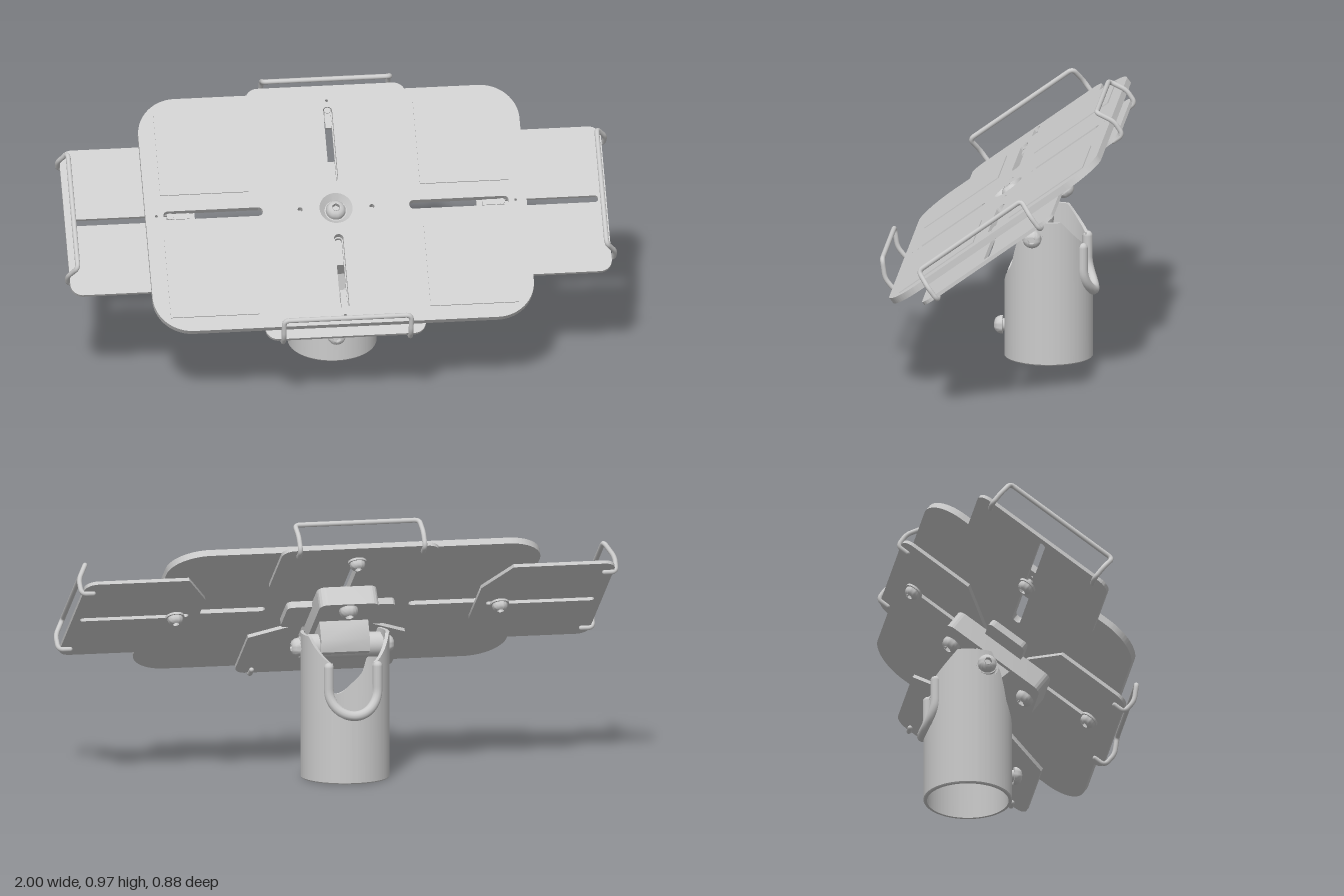
import * as THREE from 'three';
import { toCreasedNormals } from 'three/addons/utils/BufferGeometryUtils.js';

const material = new THREE.MeshStandardMaterial({ color: 0xcccccc, side: THREE.DoubleSide });
const TILT = THREE.MathUtils.degToRad(36);

function add(parent, name, geometry, x = 0, y = 0, z = 0) {
  const mesh = new THREE.Mesh(geometry, material);
  mesh.name = name;
  mesh.position.set(x, y, z);
  parent.add(mesh);
  return mesh;
}

// Rectangle with rounded corners; also serves as a slot when r is half the width
function roundedRect(w, h, r, cx = 0, cy = 0, Type = THREE.Shape) {
  const s = new Type(), x = w / 2, y = h / 2;
  s.absarc(cx + x - r, cy + y - r, r, 0, Math.PI / 2);
  s.absarc(cx - x + r, cy + y - r, r, Math.PI / 2, Math.PI);
  s.absarc(cx - x + r, cy - y + r, r, Math.PI, Math.PI * 1.5);
  s.absarc(cx + x - r, cy - y + r, r, Math.PI * 1.5, Math.PI * 2);
  s.closePath();
  return s;
}

const slot = (w, h, cx, cy) => roundedRect(w, h, Math.min(w, h) / 2 - 0.0005, cx, cy, THREE.Path);
const hole = (x, y, r) => new THREE.Path().absarc(x, y, r, 0, Math.PI * 2);

function plate(shape, from, to) {
  const g = new THREE.ExtrudeGeometry(shape, { depth: to - from, bevelEnabled: false, curveSegments: 16 });
  g.translate(0, 0, from);
  return toCreasedNormals(g, 0.6);
}

// Round wire through points with rounded corners and domed ends
function wire(parent, name, points, radius, corner) {
  const pts = points.map((p) => new THREE.Vector3(...p));
  const path = new THREE.CurvePath();
  let last = pts[0];
  for (let i = 1; i < pts.length - 1; i++) {
    const toward = (q) => {
      const d = q.clone().sub(pts[i]);
      return pts[i].clone().addScaledVector(d.clone().normalize(), Math.min(corner, d.length() * 0.45));
    };
    const a = toward(pts[i - 1]), b = toward(pts[i + 1]);
    path.add(new THREE.LineCurve3(last, a));
    path.add(new THREE.QuadraticBezierCurve3(a, pts[i], b));
    last = b;
  }
  path.add(new THREE.LineCurve3(last, pts[pts.length - 1]));
  add(parent, name, new THREE.TubeGeometry(path, 180, radius, 12));
  for (const p of [pts[0], pts[pts.length - 1]]) {
    add(parent, name + 'End', new THREE.SphereGeometry(radius, 12, 8), p.x, p.y, p.z);
  }
}

// Button head screw pointing along the given direction, with a six-sided socket
function screw(parent, name, r, position, direction) {
  const profile = [[0, 0], [1, 0], [1, 0.25], [0.9, 0.55], [0.7, 0.8], [0.42, 0.92]];
  const group = new THREE.Group();
  group.name = name;
  const head = new THREE.LatheGeometry(profile.map(([x, y]) => new THREE.Vector2(x * r, y * r)), 28);
  add(group, 'screwHead', toCreasedNormals(head, 0.6));
  const socket = new THREE.LatheGeometry([[0.42, 0.92], [0.42, 0.4], [0, 0.4]]
    .map(([x, y]) => new THREE.Vector2(x * r, y * r)), 6);
  add(group, 'screwSocket', toCreasedNormals(socket, 0.6));
  group.position.set(...position);
  group.quaternion.setFromUnitVectors(new THREE.Vector3(0, 1, 0), new THREE.Vector3(...direction));
  parent.add(group);
}

// Sliding plate with a wire clip, pointing along +y before it is turned
function slider(name, turn, o) {
  const g = new THREE.Group();
  g.name = name;
  const e = o.edge, hw = 0.29, r = 0.045;
  const s = new THREE.Shape();
  s.moveTo(-o.innerHalf, o.inner);
  s.lineTo(o.innerHalf, o.inner);
  s.lineTo(hw, o.straight);
  s.absarc(hw - r, e - r, r, 0, Math.PI / 2);
  s.absarc(-hw + r, e - r, r, Math.PI / 2, Math.PI);
  s.lineTo(-hw, o.straight);
  s.closePath();
  s.holes.push(slot(0.026, o.slot[1] - o.slot[0], 0, (o.slot[0] + o.slot[1]) / 2));
  add(g, 'slidingPlate', plate(s, -0.025, -0.012));
  const side = [[e - 0.035, -0.031], [e + 0.008, -0.031], [e + 0.011, 0.026], [e - 0.023, 0.09]];
  const left = side.map(([y, z]) => [-0.23, y, z]);
  const right = side.map(([y, z]) => [0.23, y, z]).reverse();
  wire(g, 'wireClip', [...left, ...right], 0.009, 0.02);
  // clamping screw, washer and the nut running in the slot
  const washer = new THREE.CylinderGeometry(0.034, 0.034, 0.008, 24).rotateX(Math.PI / 2);
  add(g, 'washer', washer, 0, o.screw, -0.029);
  screw(g, 'clampScrew', 0.028, [0, o.screw, -0.033], [0, 0, -1]);
  const shaft = new THREE.CylinderGeometry(0.012, 0.012, 0.035, 16).rotateX(Math.PI / 2);
  add(g, 'clampShaft', shaft, 0, o.screw, -0.012);
  add(g, 'slotNut', new THREE.BoxGeometry(0.022, 0.08, 0.014), 0, o.screw - 0.03, -0.004);
  g.rotation.z = turn;
  return g;
}

function createTray() {
  const tray = new THREE.Group();
  tray.name = 'tiltingTray';

  // main plate with four slots
  const s = roundedRect(1.38, 0.93, 0.14);
  for (const k of [-1, 1]) {
    s.holes.push(slot(0.36, 0.034, k * 0.445, 0), slot(0.034, 0.3, 0, k * 0.255));
    s.holes.push(hole(k * 0.13, 0, 0.009), hole(k * 0.65, 0, 0.005), hole(0, k * 0.43, 0.005));
  }
  s.holes.push(hole(0, 0, 0.06));
  add(tray, 'mainPlate', plate(s, -0.012, 0.012));
  for (const x of [-1, 1]) for (const y of [-1, 1]) {
    add(tray, 'pad', new THREE.BoxGeometry(0.32, 0.33, 0.005), x * 0.47, y * 0.245, 0.0135);
  }

  // countersunk centre screw
  const cup = new THREE.LatheGeometry([[0, -0.011], [0.04, -0.011], [0.06, 0.012]]
    .map((p) => new THREE.Vector2(...p)), 32).rotateX(Math.PI / 2);
  add(tray, 'countersink', toCreasedNormals(cup, 0.5));
  screw(tray, 'centreScrew', 0.036, [0, 0, -0.014], [0, 0, 1]);

  // four sliding plates with clips
  const side = { edge: 0.98, straight: 0.6, inner: 0.51, innerHalf: 0.125, slot: [0.55, 0.95], screw: 0.6 };
  const end = { edge: 0.502, straight: 0.21, inner: 0.09, innerHalf: 0.08, slot: [0.11, 0.42], screw: 0.395 };
  tray.add(slider('upperSlider', 0, end), slider('lowerSlider', Math.PI, end));
  tray.add(slider('leftSlider', -Math.PI / 2, side), slider('rightSlider', Math.PI / 2, side));

  // hub under the plate
  add(tray, 'hubWing', plate(roundedRect(0.4, 0.16, 0.02), -0.05, -0.025));
  add(tray, 'hubBlock', plate(roundedRect(0.22, 0.414, 0.03), -0.106, -0.034));
  for (const k of [-1, 1]) screw(tray, 'hubScrew', 0.034, [0, k * 0.165, -0.106], [0, 0, -1]);

  // lug reaching down to the hinge
  const lug = new THREE.Shape();
  lug.moveTo(-0.075, -0.1);
  lug.lineTo(-0.06, -0.175);
  lug.lineTo(-0.03, -0.21);
  lug.lineTo(0.03, -0.21);
  lug.lineTo(0.06, -0.175);
  lug.lineTo(0.075, -0.1);
  lug.closePath();
  const lugGeometry = plate(lug, -0.09, 0.09).applyMatrix4(new THREE.Matrix4().makeBasis(
    new THREE.Vector3(0, 1, 0), new THREE.Vector3(0, 0, 1), new THREE.Vector3(1, 0, 0)));
  add(tray, 'hingeLug', lugGeometry);

  tray.position.set(0, 0.61, -0.01);
  tray.rotation.x = TILT - Math.PI / 2;
  return tray;
}

// Rim height of the post against z, highest at the hinge ears
const RIM = [[-0.31, 0.43], [-0.285, 0.44], [-0.21, 0.53], [-0.085, 0.53], [-0.05, 0.46],
  [-0.036, 0.41], [-0.025, 0.36], [0, 0.31], [0.01, 0.275]];
function rimHeight(x, z) {
  if (z < -0.15 && Math.abs(x) < 0.08) return 0.34 - Math.sqrt(0.0064 - x * x);
  let i = 1;
  while (i < RIM.length - 1 && z > RIM[i][0]) i++;
  const [z0, y0] = RIM[i - 1], [z1, y1] = RIM[i];
  return y0 + (y1 - y0) * THREE.MathUtils.clamp((z - z0) / (z1 - z0), 0, 1);
}

function createPost() {
  const post = new THREE.Group();
  post.name = 'post';
  const R = 0.16, CZ = -0.15;

  // tube wall, its rim cut to the ear profile and the rear slot
  const wall = new THREE.LatheGeometry([[0.147, 0], [0.157, 0], [R, 0.004], [R, 1], [0.147, 1], [0.147, 0]]
    .map((p) => new THREE.Vector2(...p)), 240);
  const p = wall.attributes.position;
  for (let i = 0; i < p.count; i++) {
    if (p.getY(i) < 0.5) continue;
    const a = Math.atan2(p.getX(i), p.getZ(i));
    p.setY(i, rimHeight(R * Math.sin(a), CZ + R * Math.cos(a)));
  }
  add(post, 'tubeWall', toCreasedNormals(wall, 0.6), 0, 0, CZ);

  // thick rolled lip around the rear slot
  const lip = [[-0.09, 0.425]];
  for (let i = 0; i <= 16; i++) {
    const a = Math.PI * (1 + i / 16);
    lip.push([0.09 * Math.cos(a), 0.34 + 0.09 * Math.sin(a)]);
  }
  lip.push([0.09, 0.425]);
  const onWall = lip.map(([x, y]) => [x, y, CZ - Math.sqrt(R * R - x * x) - Math.max(0, 0.34 - y) * 0.06]);
  wire(post, 'slotLip', onWall, 0.018, 0.01);

  // hinge barrel, bosses and screws
  add(post, 'hingeBarrel', new THREE.CylinderGeometry(0.045, 0.045, 0.28, 32).rotateZ(Math.PI / 2), 0, 0.472, -0.105);
  for (const k of [-1, 1]) {
    const boss = new THREE.CylinderGeometry(0.038, 0.038, 0.03, 28).rotateZ(Math.PI / 2);
    add(post, 'hingeBoss', boss, k * 0.145, 0.472, -0.105);
    screw(post, 'hingeScrew', 0.034, [k * 0.158, 0.472, -0.105], [k, 0, 0]);
  }

  // front locking screw
  add(post, 'lockShaft', new THREE.CylinderGeometry(0.022, 0.022, 0.05, 20).rotateX(Math.PI / 2), 0, 0.11, 0);
  screw(post, 'lockScrew', 0.033, [0, 0.11, 0.016], [0, 0, 1]);
  return post;
}

export function createModel() {
  const model = new THREE.Group();
  model.name = 'tabletStand';
  model.add(createPost(), createTray());
  return model;
}
